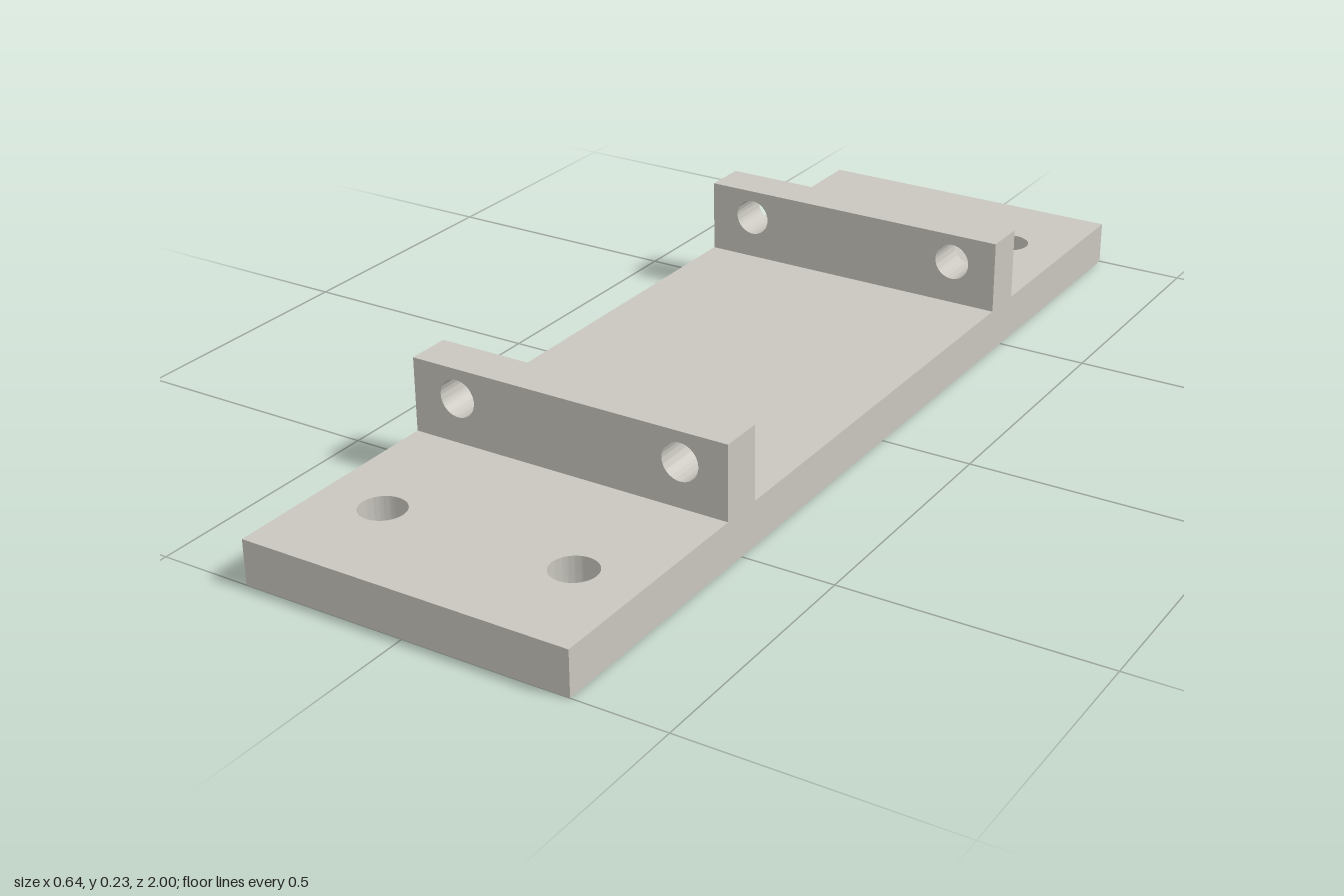
import * as THREE from 'three';
import { toCreasedNormals } from 'three/addons/utils/BufferGeometryUtils.js';

const HALF_WIDTH = 0.322;
const PLATE_HEIGHT = 0.086;
const RIB_TOP = 0.229;
const RIB_THICKNESS = 0.086;

// Rectangle with round holes, extruded along +z
function drilledSlab(x0, y0, x1, y1, holes, radius, depth) {
  const shape = new THREE.Shape();
  shape.moveTo(x0, y0);
  shape.lineTo(x1, y0);
  shape.lineTo(x1, y1);
  shape.lineTo(x0, y1);
  shape.closePath();
  for (const [x, y] of holes) {
    const hole = new THREE.Path();
    hole.absarc(x, y, radius, 0, Math.PI * 2, true);
    shape.holes.push(hole);
  }
  const geometry = new THREE.ExtrudeGeometry(shape, { depth, bevelEnabled: false, curveSegments: 40 });
  return toCreasedNormals(geometry, Math.PI / 6);
}

export function createModel() {
  const model = new THREE.Group();
  model.name = 'mountingBracket';
  const metal = new THREE.MeshStandardMaterial({ color: 0xc8c6be });
  metal.name = 'warm light grey';

  // Base plate with a screw hole near each corner
  const screwHoles = [[-0.193, -0.8], [0.193, -0.8], [-0.193, 0.8], [0.193, 0.8]];
  const plateGeometry = drilledSlab(-HALF_WIDTH, -1, HALF_WIDTH, 1, screwHoles, 0.043, PLATE_HEIGHT);
  plateGeometry.rotateX(-Math.PI / 2);
  const plate = new THREE.Mesh(plateGeometry, metal);
  plate.name = 'basePlate';
  model.add(plate);

  // Two upright ribs, each with a pair of cross holes
  const ribHoles = [[-0.229, 0.172], [0.229, 0.172]];
  const ribGeometry = drilledSlab(-HALF_WIDTH, PLATE_HEIGHT, HALF_WIDTH, RIB_TOP, ribHoles, 0.036, RIB_THICKNESS);
  ribGeometry.translate(0, 0, -RIB_THICKNESS / 2);
  for (const [name, z] of [['frontRib', 0.5], ['backRib', -0.5]]) {
    const rib = new THREE.Mesh(ribGeometry, metal);
    rib.name = name;
    rib.position.z = z;
    model.add(rib);
  }

  return model;
}
